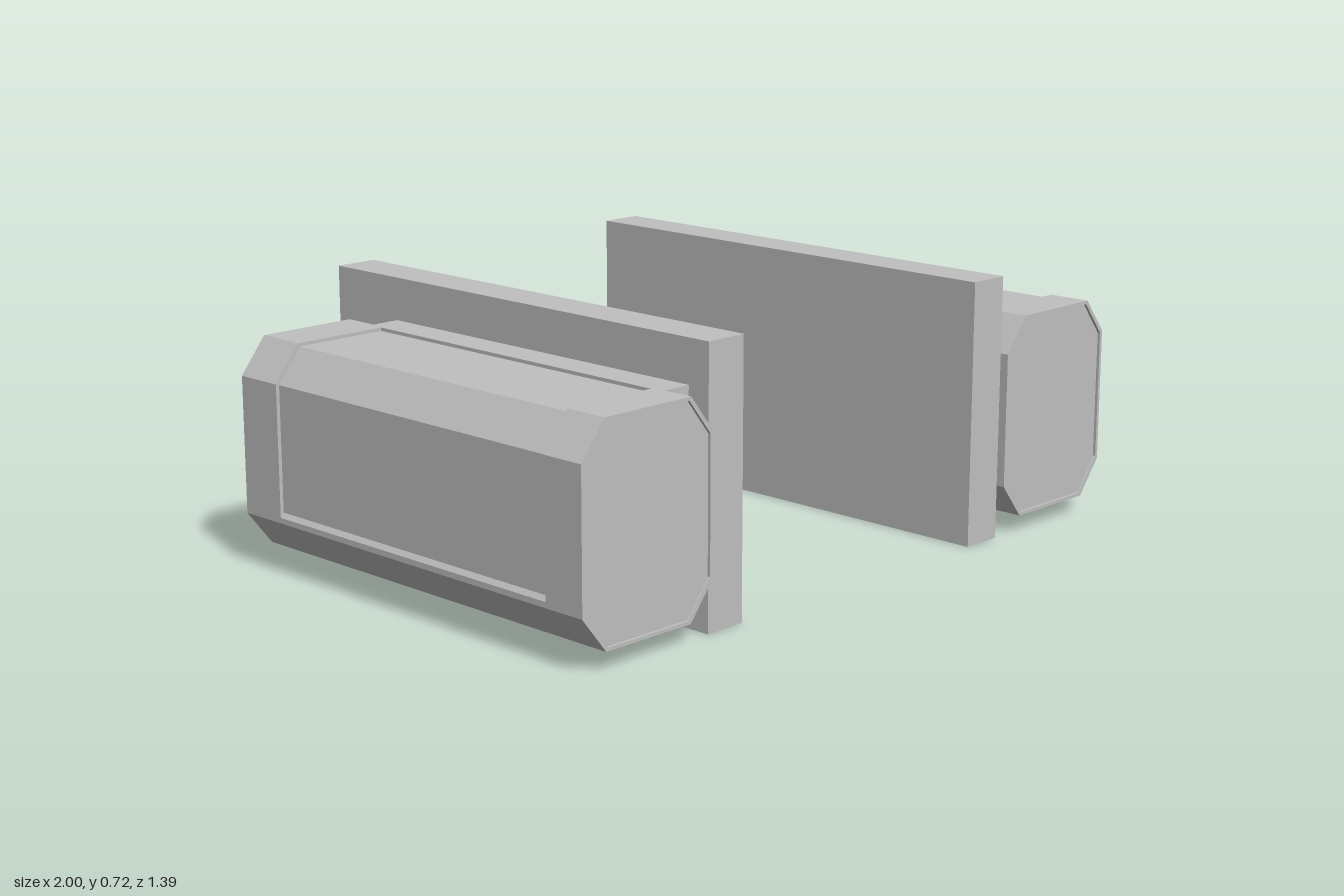
import * as THREE from 'three';
import { ConvexGeometry } from 'three/addons/geometries/ConvexGeometry.js';

const grey = new THREE.MeshStandardMaterial({ color: 0xc0c0c0 });
grey.name = 'plain grey';

// Box given by its two corners
function span(x0, x1, y0, y1, z0, z1) {
  return new THREE.BoxGeometry(x1 - x0, y1 - y0, z1 - z0)
    .translate((x0 + x1) / 2, (y0 + y1) / 2, (z0 + z1) / 2);
}

// Profile in x/y extruded between two z values
function extrude(points, z0, z1, hole) {
  const toVectors = list => list.map(p => new THREE.Vector2(...p));
  const shape = new THREE.Shape(toVectors(points));
  if (hole) shape.holes.push(new THREE.Path(toVectors(hole)));
  return new THREE.ExtrudeGeometry(shape, { depth: z1 - z0, bevelEnabled: false }).translate(0, 0, z0);
}

const hull = points => new ConvexGeometry(points.map(p => new THREE.Vector3(...p)));

// Mirror across x and turn every triangle round again
function mirrored(geometry) {
  const g = geometry.index ? geometry.toNonIndexed() : geometry.clone();
  const p = g.attributes.position;
  const a = new THREE.Vector3(), b = new THREE.Vector3();
  for (let i = 0; i < p.count; i += 3) {
    a.fromBufferAttribute(p, i + 1);
    b.fromBufferAttribute(p, i + 2);
    p.setXYZ(i + 1, b.x, b.y, b.z);
    p.setXYZ(i + 2, a.x, a.y, a.z);
  }
  g.scale(-1, 1, 1);
  g.computeVertexNormals();
  return g;
}

// Chamfered octagon, optionally inset
function octagon(d = 0) {
  const l = 0.57 + d, r = 1 - d, b = 0.05 + d, t = 0.605 - d, cx = 0.075 - d * 0.3, cy = 0.095 - d * 0.3;
  return [[l + cx, b], [r - cx, b], [r, b + cy], [r, t - cy],
    [r - cx, t], [l + cx, t], [l, t - cy], [l, b + cy]];
}

export function createModel() {
  const model = new THREE.Group();
  model.name = 'sidePods';

  // Middle of the pod, with the sunken panel over its top, chamfer and outer side
  const middle = [[0.645, 0.05], [0.925, 0.05], [1, 0.145], [1, 0.16], [0.99, 0.172], [0.99, 0.507],
    [0.92, 0.596], [0.655, 0.596], [0.655, 0.605], [0.645, 0.605], [0.57, 0.51], [0.57, 0.145]];

  const parts = {
    mountingPlate: span(0.445, 0.565, 0, 0.72, -0.7, 0.675),
    podMiddle: extrude(middle, -0.418, 0.573),
    podFrontCollar: extrude(octagon(), 0.573, 0.687),
    podBackCollar: extrude(octagon(), -0.552, -0.418),
    // Narrow raised rims around the end caps
    podFrontRim: extrude(octagon(), 0.687, 0.695, octagon(0.009)),
    podBackRim: extrude(octagon(), -0.56, -0.552, octagon(0.009)),
    // Bracket joining pod and plate, with a brace sloping down to the back
    bracket: span(0.56, 0.645, 0.145, 0.605, -0.46, 0.61),
    bracketBrace: hull([
      [0.645, 0.145, 0.61], [0.565, 0.145, 0.61], [0.645, 0.05, 0.61],
      [0.645, 0.145, -0.46], [0.565, 0.145, -0.46], [0.645, 0.05, -0.46], [0.565, 0.015, -0.62],
    ]),
  };

  for (const side of ['left', 'right']) {
    const group = new THREE.Group();
    group.name = side + 'Assembly';
    for (const [name, geometry] of Object.entries(parts)) {
      const mesh = new THREE.Mesh(side === 'left' ? geometry : mirrored(geometry), grey);
      mesh.name = name;
      group.add(mesh);
    }
    model.add(group);
  }
  return model;
}
